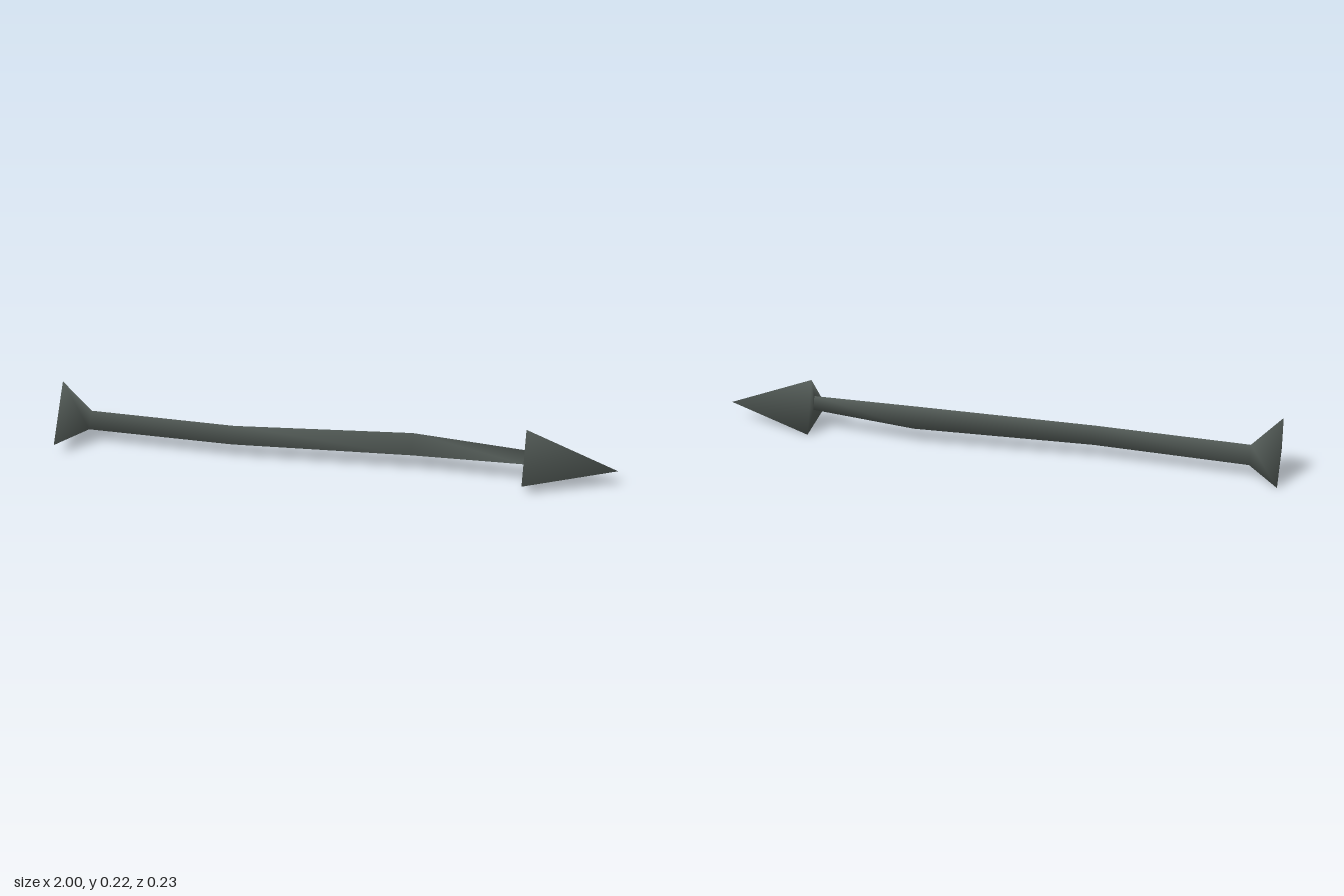
import * as THREE from 'three';

const SIDES = 3;
const TWIST = THREE.MathUtils.degToRad(-20);

// Skin three-sided rings [x, y, z, radius] along x; radius 0 closes to a point.
function loft(rings, capStart) {
  const pos = [], index = [];
  for (const [x, y, z, r] of rings) {
    for (let k = 0; k < (r ? SIDES : 1); k++) {
      const a = TWIST + (k * Math.PI * 2) / SIDES;
      pos.push(x, y + r * Math.sin(a), z + r * Math.cos(a));
    }
  }
  if (capStart) index.push(0, 1, 2);
  for (let i = 0; i < rings.length - 1; i++) {
    const pointed = rings[i + 1][3] === 0;
    for (let k = 0; k < SIDES; k++) {
      const n = (k + 1) % SIDES;
      const a = i * SIDES + k, b = i * SIDES + n;
      const c = (i + 1) * SIDES + (pointed ? 0 : k), d = (i + 1) * SIDES + n;
      index.push(a, c, b);
      if (!pointed) index.push(b, c, d);
    }
  }
  const geo = new THREE.BufferGeometry();
  geo.setAttribute('position', new THREE.Float32BufferAttribute(pos, 3));
  geo.setIndex(index);
  geo.computeVertexNormals();
  return geo;
}

export function createModel() {
  const group = new THREE.Group();
  group.name = 'arrow';
  const darkMetal = new THREE.MeshStandardMaterial({ color: 0x525a56 });
  darkMetal.name = 'dark grey green';

  // Crooked shaft flaring into the capped tail
  const shaft = new THREE.Mesh(loft([
    [-1.0, 0.0875, -0.011, 0.136],
    [-0.9, 0.071, -0.024, 0.04],
    [-0.36, 0.075, 0.0, 0.039],
    [0.28, 0.086, -0.027, 0.046],
    [0.675, 0.091, 0.0, 0.029],
  ], true), darkMetal);
  shaft.name = 'shaftAndTail';

  // Pyramid head with a flat back around the shaft
  const head = new THREE.Mesh(loft([
    [0.675, 0.091, 0.0, 0.029],
    [0.675, 0.077, -0.004, 0.115],
    [1.0, 0.065, -0.009, 0],
  ], false), darkMetal);
  head.name = 'head';

  group.add(shaft, head);
  return group;
}
